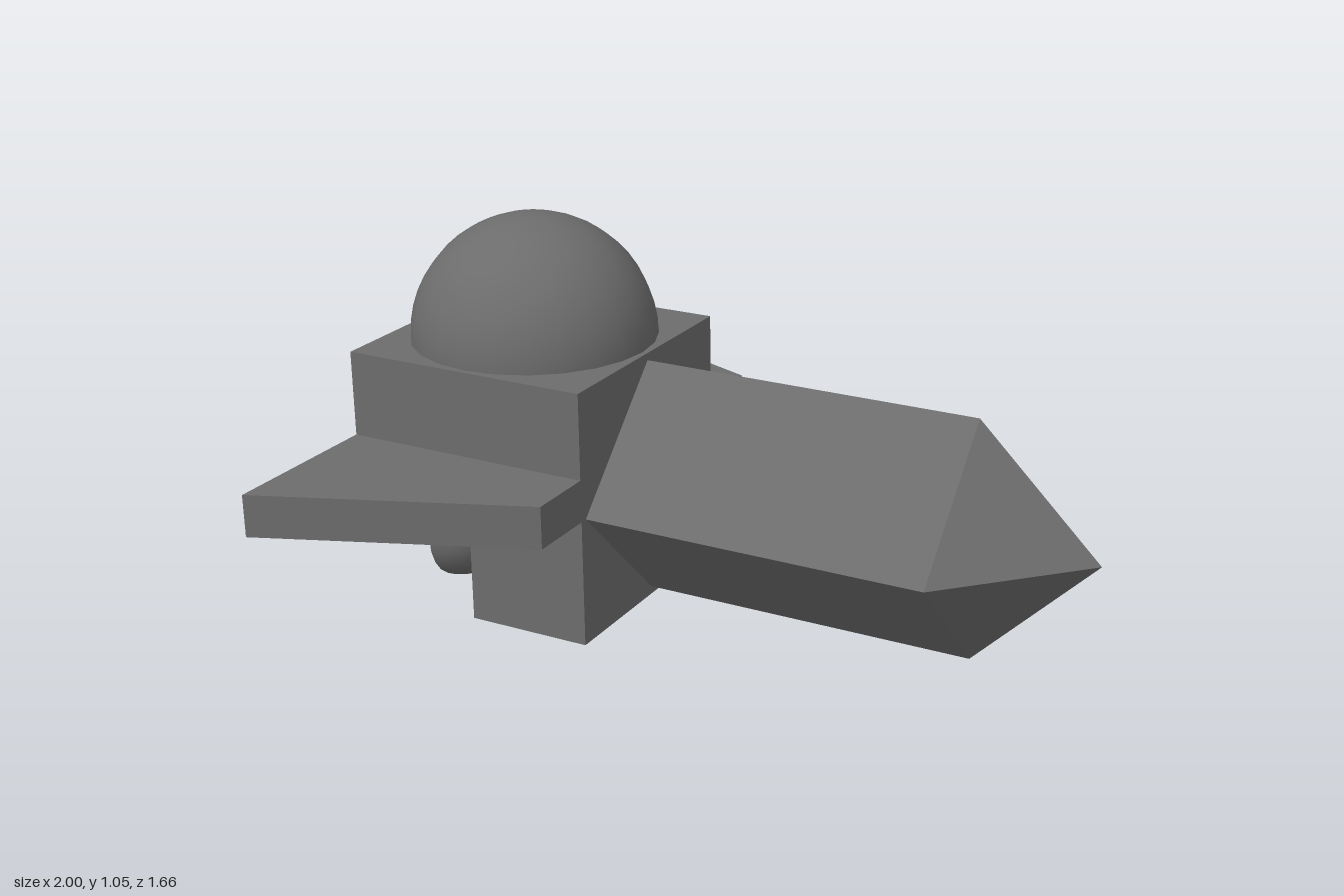
import * as THREE from 'three';

export function createModel() {
  const group = new THREE.Group();
  const color = 0x6c6c6c;
  const flat = new THREE.MeshStandardMaterial({ color, flatShading: true });
  const smooth = new THREE.MeshStandardMaterial({ color, side: THREE.DoubleSide });

  const add = (name, geometry, material, x = 0, y = 0, z = 0) => {
    const mesh = new THREE.Mesh(geometry, material);
    mesh.name = name;
    mesh.position.set(x, y, z);
    group.add(mesh);
  };

  const rear = -1, front = -0.287, mid = -0.642, axisY = 0.357, half = 0.356;

  // Cabin block, with the lower rear quarter cut away
  const profile = new THREE.Shape([
    [rear, axisY], [mid, axisY], [mid, 0], [front, 0], [front, 0.712], [rear, 0.712],
  ].map(([x, y]) => new THREE.Vector2(x, y)));
  add('cabin', new THREE.ExtrudeGeometry(profile, { depth: half * 2, bevelEnabled: false }), flat, 0, 0, -half);

  // Open half-sphere, used for the roof dome and the thrusters
  const halfSphere = (radius) => new THREE.SphereGeometry(radius, 24, 12, 0, Math.PI * 2, 0, Math.PI / 2);
  add('dome', halfSphere(0.34), smooth, mid, 0.712, 0);

  // Diamond-section hull in two equal sections along x, then the pointed nose
  const section = 0.475;
  ['rearHull', 'frontHull'].forEach((name, i) => {
    const hull = new THREE.CylinderGeometry(0.335, 0.335, section, 4).rotateZ(-Math.PI / 2);
    add(name, hull, flat, front + section * (i + 0.5), axisY, 0);
  });
  const nose = new THREE.ConeGeometry(0.335, 0.337, 4).rotateZ(-Math.PI / 2);
  add('nose', nose, flat, 0.8315, axisY, 0);

  for (const side of [1, -1]) {
    const label = side > 0 ? 'front' : 'back';

    // Swept wing slab, drawn in plan and laid flat
    const plan = new THREE.Shape([
      [rear, half], [front, half], [front, 0.547], [rear, 0.829],
    ].map(([x, z]) => new THREE.Vector2(x, -side * z)));
    const wing = new THREE.ExtrudeGeometry(plan, { depth: 0.117, bevelEnabled: false }).rotateX(-Math.PI / 2);
    add(label + 'Wing', wing, flat, 0, axisY, 0);

    // Hollow thruster bell, open to the rear
    add(label + 'Thruster', halfSphere(0.155).rotateZ(-Math.PI / 2), smooth, -0.8, 0.19, side * 0.17);
  }

  return group;
}
